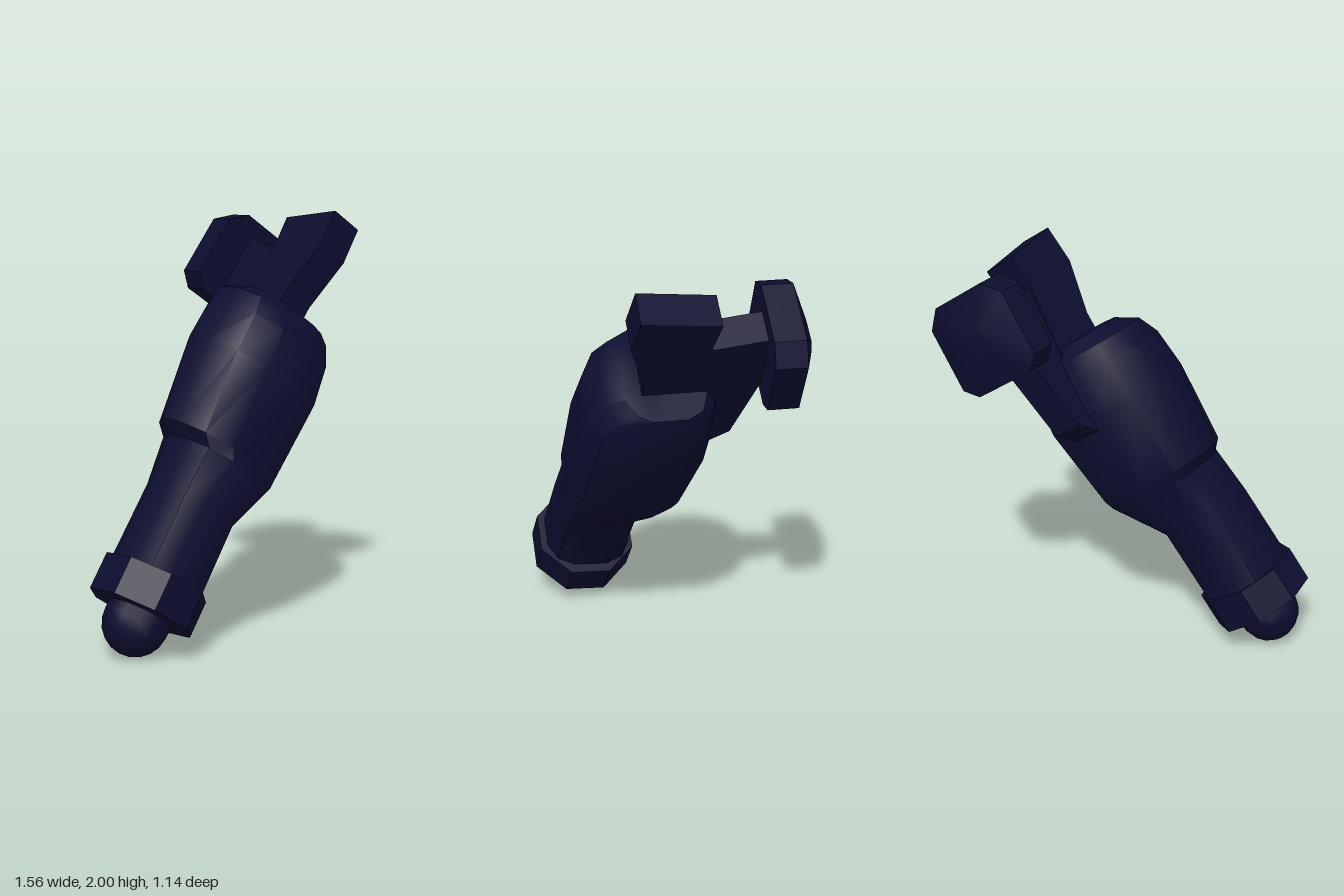
import * as THREE from 'three';
import { toCreasedNormals } from 'three/addons/utils/BufferGeometryUtils.js';

const material = new THREE.MeshStandardMaterial({ color: 0x0d0d30 });

// Joins rings of points [x, y, z] into a closed skin with capped ends.
function loft(rings, crease) {
  const n = rings[0].length;
  const index = [];
  for (let i = 0; i < rings.length - 1; i++) {
    for (let j = 0; j < n; j++) {
      const a = i * n + j, b = i * n + (j + 1) % n;
      index.push(a, a + n, b, b, a + n, b + n);
    }
  }
  const last = (rings.length - 1) * n;
  for (let j = 1; j < n - 1; j++) {
    index.push(0, j, j + 1);
    index.push(last, last + j + 1, last + j);
  }
  const g = new THREE.BufferGeometry();
  g.setAttribute('position', new THREE.Float32BufferAttribute(rings.flat(2), 3));
  g.setIndex(index);
  return toCreasedNormals(g, crease);
}

// Boxy oval ring across the arm at height y. The outer (-x) side is rounder,
// most of all at its back corner; inner and outer set how boxy each side is.
function ovalRing([y, x0, x1, z0, z1, inner, outer]) {
  const n = 12;
  return Array.from({ length: n }, (_, j) => {
    const a = ((j + 0.5) / n) * Math.PI * 2;
    const c = Math.cos(a), s = Math.sin(a);
    const power = c > 0 ? inner : s > 0 ? (inner + outer) / 2 : outer;
    const soft = (t) => Math.sign(t) * Math.pow(Math.abs(t) / Math.cos(Math.PI / n), power);
    return [
      (x0 + x1) / 2 + ((x1 - x0) / 2) * soft(c),
      y,
      (z0 + z1) / 2 + ((z1 - z0) / 2) * soft(s),
    ];
  });
}

// Slab with a side profile of [z, y] points, between x0 and x1.
function slab(points, x0, x1) {
  const shape = new THREE.Shape(points.map(([z, y]) => new THREE.Vector2(z, y)));
  const g = new THREE.ExtrudeGeometry(shape, { depth: x1 - x0, bevelEnabled: false });
  return g.rotateY(-Math.PI / 2).translate(x1, 0, 0);
}

export function createModel() {
  const model = new THREE.Group();
  model.name = 'mechanicalForearm';

  // The arm is built upright, then leaned over to the left.
  const arm = new THREE.Group();
  arm.name = 'arm';
  arm.rotation.z = -0.594;
  model.add(arm);

  const add = (name, geometry) => {
    const mesh = new THREE.Mesh(geometry, material);
    mesh.name = name;
    arm.add(mesh);
    return mesh;
  };

  // Rounded wrist tip below the collar
  add('tip', new THREE.CapsuleGeometry(0.155, 0.2, 5, 12))
    .position.set(-0.586, -0.11, 0.325);

  // Eight-sided collar, slightly tilted
  const collar = add('collar', toCreasedNormals(
    new THREE.CylinderGeometry(0.26, 0.26, 0.18, 8).rotateY(Math.PI / 8), 0.6));
  collar.position.set(-0.589, -0.07, 0.316);
  collar.rotation.x = -0.1;

  // Swelling forearm: height, x range, z range, boxiness of each section
  const sections = [
    [-0.05, -0.79, -0.395, 0.09, 0.515, 0.72, 0.75],
    [0.05, -0.79, -0.395, 0.09, 0.51, 0.72, 0.75],
    [0.39, -0.79, -0.4, 0.05, 0.475, 0.7, 0.85],
    [0.64, -0.79, -0.287, -0.09, 0.46, 0.62, 1.05],
    [0.69, -0.854, -0.28, -0.12, 0.46, 0.62, 1.15],
    [1.1, -0.903, -0.25, -0.19, 0.435, 0.62, 1.15],
    [1.3, -0.885, -0.275, -0.19, 0.4, 0.62, 1.05],
    [1.4, -0.86, -0.29, -0.18, 0.33, 0.62, 0.95],
    [1.46, -0.77, -0.305, -0.13, 0.24, 0.62, 0.85],
  ];
  add('forearm', loft(sections.map(ovalRing), 0.6));

  // Flat block rising from the end of the forearm
  add('elbowBlock', slab([
    [-0.17, 1.35], [-0.115, 1.79], [-0.14, 1.943], [0.22, 1.99],
    [0.245, 1.8], [0.165, 1.54], [0.165, 1.35],
  ].reverse(), -0.62, -0.45));

  // Strut along the back carrying the disc
  add('backStrut', slab([
    [0.05, 1.04], [-0.19, 1.04], [-0.285, 1.11], [-0.37, 1.48],
    [-0.37, 1.82], [-0.1, 1.77], [0.05, 1.77],
  ].reverse(), -0.61, -0.45));

  // Square disc with cut corners and a shallow domed back
  const outline = [
    [-0.242, -0.172], [-0.17, -0.232], [0.17, -0.232], [0.242, -0.172],
    [0.242, 0.14], [0.155, 0.222], [-0.155, 0.222], [-0.242, 0.14],
  ];
  const discRing = (scale, z) =>
    outline.map(([x, y]) => [x * scale, y * scale, z + y * scale * 0.04]);
  add('backDisc', loft([discRing(1, 0), discRing(1, -0.145), discRing(0.36, -0.203)], 0.5))
    .position.set(-0.533, 1.683, -0.365);

  return model;
}
